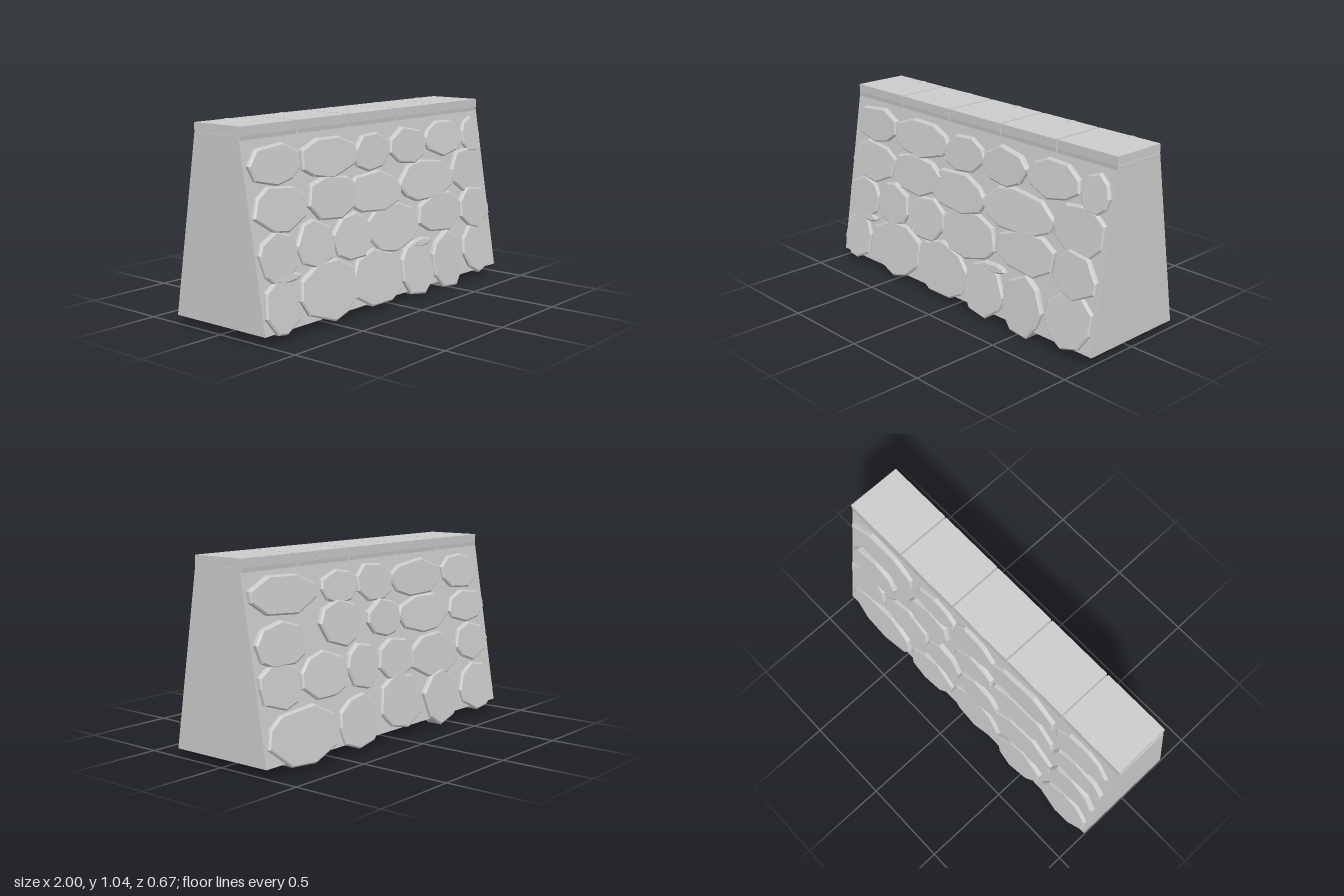
import * as THREE from 'three';

const grey = new THREE.MeshStandardMaterial({ color: 0xcccccc });

// wall half-depth at a height
const BASE = 0.045, TOP = 0.995;
const wallZ = (y) => 0.31 - 0.158 * (y - BASE) / (TOP - BASE);

// stones of each face: [xMin, xMax, yMin, yMax]
const FRONT = [
  [-0.98, -0.62, 0.74, 0.945], [-0.61, -0.17, 0.73, 0.94], [-0.21, 0.12, 0.73, 0.93],
  [0.1, 0.44, 0.73, 0.94], [0.42, 0.8, 0.74, 0.945], [0.8, 0.985, 0.74, 0.945],
  [-0.99, -0.6, 0.51, 0.745], [-0.6, -0.2, 0.52, 0.75], [-0.29, 0.17, 0.51, 0.73],
  [0.13, 0.66, 0.52, 0.745], [0.65, 0.98, 0.5, 0.77],
  [-0.985, -0.71, 0.28, 0.53], [-0.72, -0.44, 0.3, 0.55], [-0.45, -0.13, 0.3, 0.54],
  [-0.16, 0.28, 0.28, 0.55], [0.27, 0.69, 0.32, 0.55], [0.69, 0.98, 0.29, 0.54],
  [-0.99, -0.75, 0.03, 0.31], [-0.74, -0.3, 0.02, 0.33], [-0.33, 0.1, 0.03, 0.33],
  [0.08, 0.38, 0.01, 0.32], [0.37, 0.66, 0, 0.33], [0.67, 0.98, 0.03, 0.33],
  [-0.9, -0.71, 0.27, 0.32], [0.19, 0.37, 0.27, 0.32],
];
const BACK = [
  [0.5, 0.98, 0.745, 0.95], [0.16, 0.46, 0.76, 0.94], [-0.13, 0.17, 0.75, 0.95],
  [-0.58, -0.1, 0.74, 0.945], [-0.96, -0.6, 0.74, 0.94],
  [0.62, 0.98, 0.51, 0.73], [0.19, 0.51, 0.54, 0.79], [-0.16, 0.13, 0.55, 0.76],
  [-0.62, -0.14, 0.53, 0.74], [-0.98, -0.63, 0.54, 0.73],
  [0.7, 0.985, 0.3, 0.53], [0.33, 0.69, 0.31, 0.55], [0.07, 0.34, 0.3, 0.55],
  [-0.23, 0.08, 0.32, 0.54], [-0.66, -0.2, 0.28, 0.52], [-0.98, -0.65, 0.31, 0.54],
  [0.46, 0.98, 0.01, 0.3], [0.1, 0.45, 0.01, 0.29], [-0.28, 0.11, 0.04, 0.35],
  [-0.62, -0.28, 0, 0.31], [-0.98, -0.64, 0.02, 0.3],
];

function seeded(seed) {
  let s = seed;
  return () => (s = (s * 16807) % 2147483647) / 2147483647;
}

// irregular polygon stretched to fill its box
function stoneShape([x0, x1, y0, y1], rand) {
  const n = 8 + Math.floor(rand() * 2), start = rand();
  const pts = Array.from({ length: n }, (_, i) => {
    const a = (i + start + (rand() - 0.5) * 0.45) / n * Math.PI * 2;
    const r = 0.94 + rand() * 0.12;
    return new THREE.Vector2(Math.cos(a) * r, Math.sin(a) * r);
  });
  const box = new THREE.Box2().setFromPoints(pts);
  const size = box.getSize(new THREE.Vector2());
  pts.forEach((p) => p.set(
    x0 + (p.x - box.min.x) / size.x * (x1 - x0),
    y0 + (p.y - box.min.y) / size.y * (y1 - y0)));
  return new THREE.Shape(pts);
}

// bevelled block, sheared so that its face follows the sloping wall
function stone(box, rand) {
  const geo = new THREE.ExtrudeGeometry(stoneShape(box, rand), {
    depth: 0.09, bevelThickness: 0.008, bevelSize: 0.009, bevelOffset: -0.009, bevelSegments: 1,
  });
  const cx = (box[0] + box[1]) / 2, cy = (box[2] + box[3]) / 2;
  const proud = 0.018 + rand() * 0.007;
  const tiltX = (rand() - 0.5) * 0.04, tiltY = (rand() - 0.5) * 0.06;
  const p = geo.attributes.position;
  for (let i = 0; i < p.count; i++) {
    const x = p.getX(i), y = p.getY(i);
    p.setZ(i, p.getZ(i) - 0.098 + proud + wallZ(y) + (x - cx) * tiltX + (y - cy) * tiltY);
  }
  geo.computeVertexNormals();
  return new THREE.Mesh(geo, grey);
}

// symmetric cross-section of (z, y) points, extruded along x and centred
function bar(profile, length, name) {
  const pts = [...profile, ...profile.map(([z, y]) => [-z, y]).reverse()];
  const shape = new THREE.Shape(pts.map(([z, y]) => new THREE.Vector2(z, y)));
  const geo = new THREE.ExtrudeGeometry(shape, { depth: length, bevelEnabled: false });
  geo.translate(0, 0, -length / 2).rotateY(Math.PI / 2);
  const mesh = new THREE.Mesh(geo, grey);
  mesh.name = name;
  return mesh;
}

function stoneFace(boxes, name, seed, isBack) {
  const group = new THREE.Group();
  group.name = name;
  const rand = seeded(seed);
  boxes.forEach(([x0, x1, y0, y1], i) => {
    const mesh = stone(isBack ? [-x1, -x0, y0, y1] : [x0, x1, y0, y1], rand);
    mesh.name = `${name}${i + 1}`;
    group.add(mesh);
  });
  if (isBack) group.rotation.y = Math.PI;
  return group;
}

export function createModel() {
  const model = new THREE.Group();
  model.name = 'stoneWall';

  // tapered core
  model.add(bar([[wallZ(BASE), BASE], [wallZ(TOP), TOP]], 2, 'wallCore'));

  // stones on both faces
  model.add(stoneFace(FRONT, 'frontStone', 1207, false));
  model.add(stoneFace(BACK, 'backStone', 4519, true));

  // row of coping slabs with a chip showing on the back of each
  for (let i = 0; i < 5; i++) {
    const x = -0.8 + i * 0.4;
    const slab = bar([[0.154, 0.96], [0.158, 0.995], [0.158, 1.042]], 0.39, `copingSlab${i + 1}`);
    slab.position.x = x;
    model.add(slab);

    const chip = new THREE.Mesh(new THREE.CylinderGeometry(0.06, 0.06, 0.036, 8), grey);
    chip.name = `copingChip${i + 1}`;
    chip.scale.z = 0.35;
    chip.rotation.x = Math.PI / 2;
    chip.position.set(x + 0.02, 1.0235, -0.142);
    model.add(chip);
  }
  return model;
}
